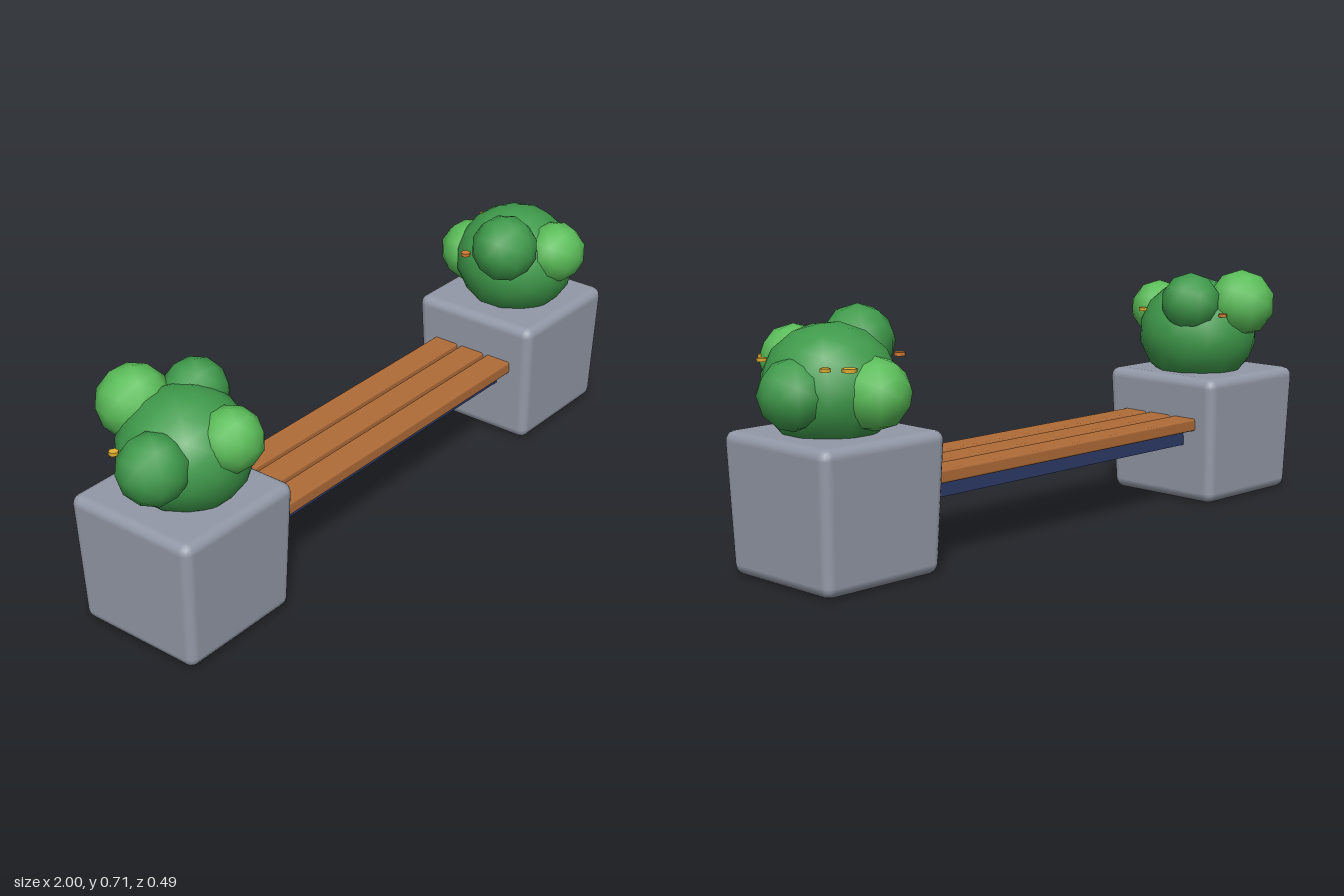
import * as THREE from 'three';
import { RoundedBoxGeometry } from 'three/addons/geometries/RoundedBoxGeometry.js';
import { mergeVertices } from 'three/addons/utils/BufferGeometryUtils.js';

const mat = (name, color) => {
  const m = new THREE.MeshStandardMaterial({ color });
  m.name = name;
  return m;
};

export function createModel() {
  const stone = mat('stone', 0x9298a6);
  const wood = mat('wood', 0xb06c38);
  const navy = mat('navy', 0x2c3a68);
  const leaf = mat('leaf', 0x3f9a4b);
  const lightLeaf = mat('lightLeaf', 0x5abd58);
  const yellow = mat('yellow', 0xe0b030);
  const orange = mat('orange', 0xd07a35);

  const model = new THREE.Group();
  model.name = 'planterBench';

  const add = (parent, name, geometry, material, x, y, z) => {
    const mesh = new THREE.Mesh(geometry, material);
    mesh.name = name;
    mesh.position.set(x, y, z);
    parent.add(mesh);
    return mesh;
  };

  // Rounded concrete block, narrower at the foot
  const block = new RoundedBoxGeometry(0.42, 0.39, 0.425, 2, 0.03);
  const p = block.attributes.position;
  for (let i = 0; i < p.count; i++) {
    const k = 0.93 + 0.07 * (p.getY(i) / 0.39 + 0.5);
    p.setX(i, p.getX(i) * k);
    p.setZ(i, p.getZ(i) * k);
  }

  // Leafy blobs with smooth normals and faceted outlines
  const blob = (detail) => {
    const g = new THREE.IcosahedronGeometry(1, detail);
    g.deleteAttribute('uv');
    return mergeVertices(g);
  };
  const bigBlob = blob(2);
  const smallBlob = blob(1);
  const petal = new THREE.CylinderGeometry(1, 1, 1, 6);

  // Clumps: x, y, z, radius, material. Blossoms: x, z, radius, material
  const planters = [
    {
      name: 'rightPlanter', x: -0.76, bush: [-0.74, 0.505, 0.005],
      clumps: [
        [-0.905, 0.535, 0.05, 0.098, leaf],
        [-0.635, 0.61, -0.05, 0.093, leaf],
        [-0.77, 0.605, -0.143, 0.104, lightLeaf],
        [-0.715, 0.57, 0.145, 0.09, lightLeaf],
      ],
      blossoms: [
        [-0.955, -0.035, 0.014, yellow],
        [-0.625, 0.135, 0.014, yellow],
        [-0.67, -0.15, 0.014, orange],
      ],
    },
    {
      name: 'leftPlanter', x: 0.757, bush: [0.765, 0.505, 0.01],
      clumps: [
        [0.902, 0.502, -0.012, 0.097, leaf],
        [0.62, 0.605, 0.065, 0.102, leaf],
        [0.74, 0.5, -0.14, 0.098, lightLeaf],
        [0.768, 0.565, 0.153, 0.094, lightLeaf],
      ],
      blossoms: [
        [0.845, -0.165, 0.02, yellow],
        [0.887, -0.12, 0.014, yellow],
        [0.885, 0.14, 0.014, yellow],
        [0.842, 0.195, 0.011, yellow],
        [0.565, -0.04, 0.016, orange],
      ],
    },
  ];

  for (const { name, x, bush, clumps, blossoms } of planters) {
    const g = new THREE.Group();
    g.name = name;
    model.add(g);
    add(g, 'planterBlock', block, stone, x, 0.195, 0.005);
    add(g, 'bushBody', bigBlob, leaf, ...bush).scale.set(0.182, 0.171, 0.187);
    clumps.forEach(([cx, cy, cz, r, m]) =>
      add(g, 'bushClump', smallBlob, m, cx, cy, cz).scale.setScalar(r));
    blossoms.forEach(([bx, bz, r, m]) =>
      add(g, 'blossom', petal, m, bx, 0.575, bz).scale.set(r, 0.01, r));
  }

  // Seat planks over a wide beam, running between the blocks
  const plank = new RoundedBoxGeometry(1.14, 0.038, 0.086, 1, 0.007);
  for (const z of [-0.096, 0.003, 0.102]) add(model, 'seatPlank', plank, wood, 0, 0.245, z);
  add(model, 'seatBeam', new THREE.BoxGeometry(1.14, 0.046, 0.19), navy, 0, 0.2, 0.003);

  return model;
}
